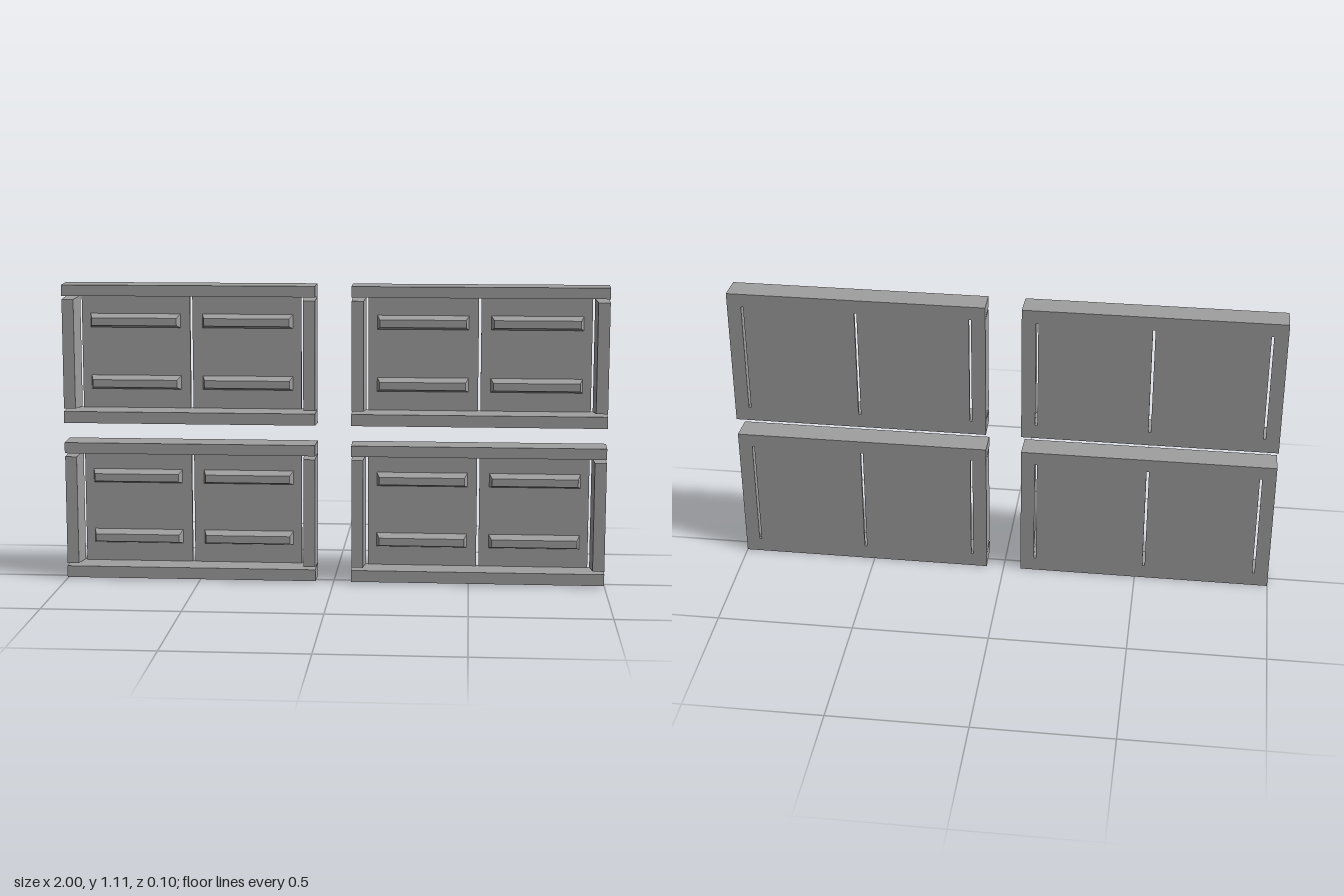
import * as THREE from 'three';

const BACK = -0.05, FRONT = 0.05, PANEL = -0.037;
const WIDTH = 0.935, HEIGHT = 0.52;

// Box whose front rectangle differs from its back one; rectangles are [x0, x1, y0, y1]
function taperedBox(back, front, z0, z1) {
  const geometry = new THREE.BoxGeometry(1, 1, 1);
  const p = geometry.attributes.position;
  for (let i = 0; i < p.count; i++) {
    const r = p.getZ(i) > 0 ? front : back;
    p.setXYZ(i, p.getX(i) > 0 ? r[1] : r[0], p.getY(i) > 0 ? r[3] : r[2], p.getZ(i) > 0 ? z1 : z0);
  }
  geometry.computeVertexNormals();
  return geometry;
}

export function createModel() {
  const grey = new THREE.MeshStandardMaterial({ color: 0xa0a0a0 });
  grey.name = 'plain grey';
  const model = new THREE.Group();
  model.name = 'framedPanels';

  function createUnit() {
    const unit = new THREE.Group();
    const add = (name, back, front, z0, z1) => {
      const mesh = new THREE.Mesh(taperedBox(back, front, z0, z1), grey);
      mesh.name = name;
      unit.add(mesh);
    };

    // Horizontal beams, drafted towards the front
    add('bottomBeam', [0, WIDTH, 0, 0.054], [0.001, WIDTH - 0.002, 0.006, 0.049], BACK, FRONT);
    add('topBeam', [0, WIDTH, 0.47, HEIGHT], [0.001, WIDTH - 0.002, 0.477, 0.517], BACK, FRONT);

    // End posts, leaving wedge-shaped joints against the beams
    add('rightPost', [0, 0.051, 0.054, 0.47], [0.002, 0.045, 0.06, 0.464], BACK, FRONT);
    add('leftPost', [WIDTH - 0.051, WIDTH, 0.054, 0.47], [WIDTH - 0.045, WIDTH - 0.002, 0.06, 0.464], BACK, FRONT);

    // Two thin recessed panels with narrow open slots around them
    for (const [x0, x1] of [[0.059, 0.463], [0.472, 0.876]]) {
      const r = [x0, x1, 0.054, 0.47];
      add('panel', r, r, BACK, PANEL);
    }

    // Bevelled ribs, two on each panel
    for (const x of [0.091, 0.508]) {
      for (const y of [0.123, 0.353]) {
        add('rib', [x, x + 0.337, y, y + 0.053], [x + 0.011, x + 0.326, y + 0.011, y + 0.039], PANEL - 0.002, 0);
      }
    }
    return unit;
  }

  // Two columns and two rows of identical units
  for (const x of [-1, 1 - WIDTH]) {
    for (const y of [0, 0.585]) {
      const unit = createUnit();
      unit.name = (y ? 'upper' : 'lower') + (x < 0 ? 'Right' : 'Left') + 'Unit';
      unit.position.set(x, y, 0);
      model.add(unit);
    }
  }
  return model;
}
